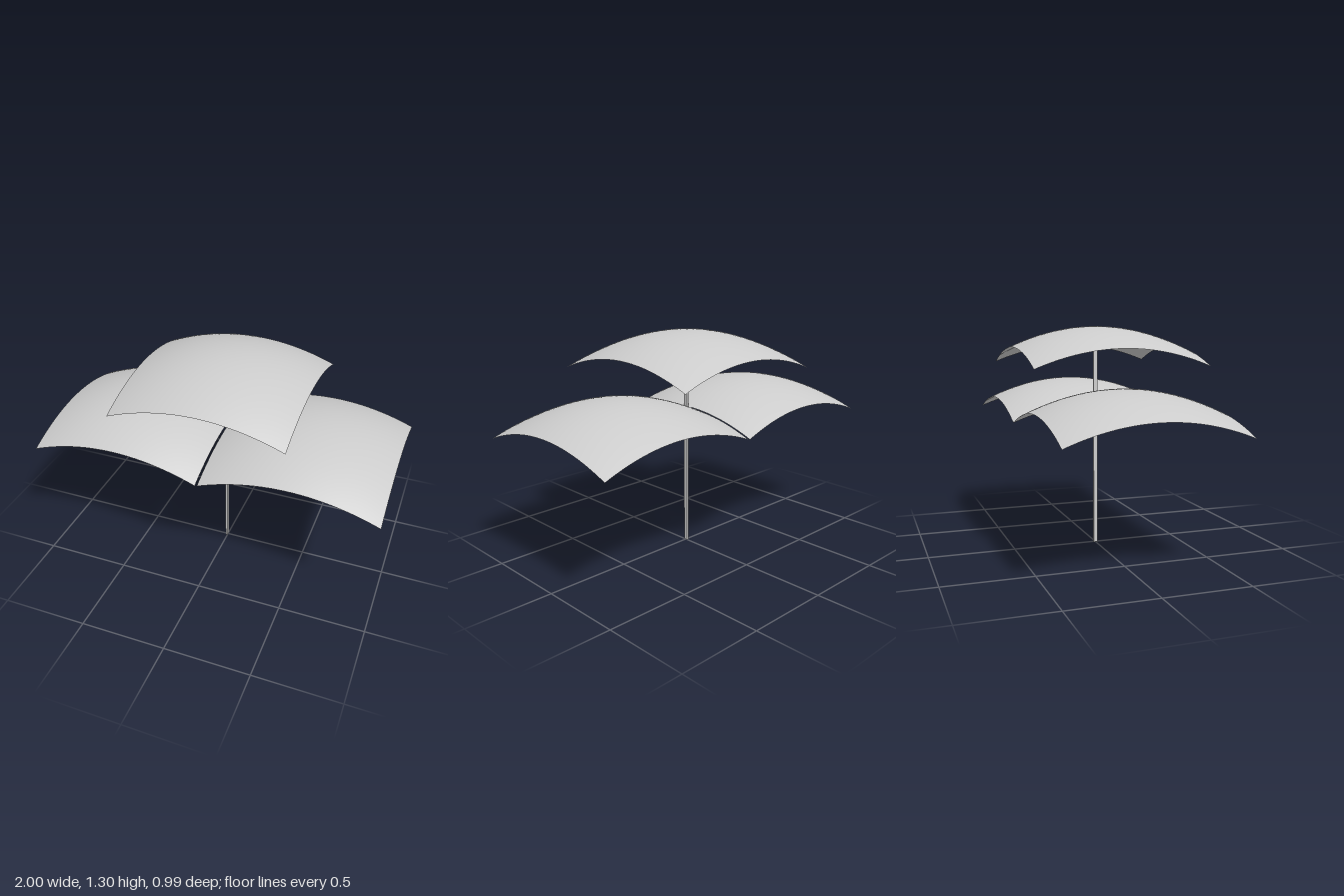
import * as THREE from 'three';

const SIZE = 0.994; // side length of each square canopy

// Thin square shell that droops along both axes
function canopy(name, x, apex, material) {
  const geometry = new THREE.PlaneGeometry(SIZE, SIZE, 32, 32);
  geometry.rotateX(-Math.PI / 2);
  const p = geometry.attributes.position;
  for (let i = 0; i < p.count; i++) {
    const u = (2 * p.getX(i) / SIZE) ** 2;
    const v = (2 * p.getZ(i) / SIZE) ** 2;
    p.setY(i, -0.118 * (u + v) + 0.017 * u * v);
  }
  geometry.computeVertexNormals();
  const mesh = new THREE.Mesh(geometry, material);
  mesh.name = name;
  mesh.position.set(x, apex, 0);
  return mesh;
}

export function createModel() {
  const group = new THREE.Group();
  group.name = 'tieredCanopy';
  const shell = new THREE.MeshStandardMaterial({ color: 0xcccccc, side: THREE.DoubleSide });
  const metal = new THREE.MeshStandardMaterial({ color: 0xcccccc });

  // One high canopy above a pair of lower ones
  group.add(
    canopy('upperCanopy', -0.009, 1.301, shell),
    canopy('rightCanopy', -0.503, 0.97, shell),
    canopy('leftCanopy', 0.503, 0.972, shell),
  );

  // Slim flat post running up to the high canopy
  const height = 1.297;
  const post = new THREE.Mesh(new THREE.BoxGeometry(0.013, height, 0.025), metal);
  post.name = 'post';
  post.position.set(-0.005, height / 2, 0);
  group.add(post);

  return group;
}
